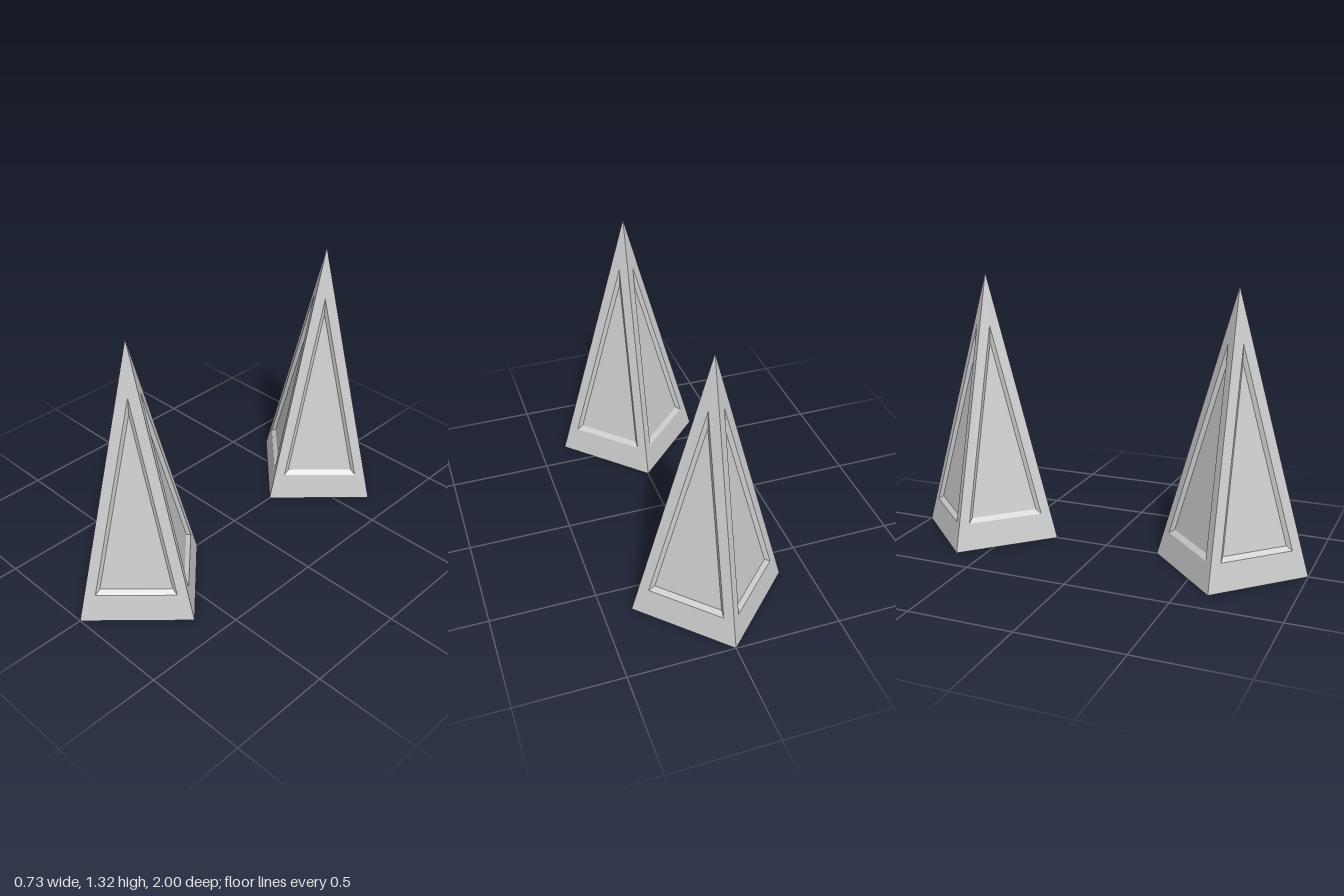
import * as THREE from 'three';

const R = 0.367;       // centre to base corner
const H = 1.315;       // spire height
const RIB = 0.035;     // half width of the rib left along each corner edge
const DEPTH = 0.0235;  // how far the panel floor sits in, measured along x + z

// Triangle on one sloping side: base-left, base-right, apex, seen from outside
function panelTriangle(bottom, inset) {
  const reach = R * (1 - bottom / H) - inset - RIB;
  const top = H * (1 - (2 * RIB + inset) / R);
  return [[RIB, bottom, reach], [reach, bottom, RIB], [RIB, top, RIB]];
}

function flatGeometry(triangles) {
  const g = new THREE.BufferGeometry();
  g.setAttribute('position', new THREE.Float32BufferAttribute(triangles.flat(2), 3));
  g.computeVertexNormals();
  return g;
}

// Ring of three quads joining an outer triangle to an inner one
function ring(outer, inner) {
  const tris = [];
  for (let i = 0; i < 3; i++) {
    const j = (i + 1) % 3;
    tris.push([outer[i], outer[j], inner[j]], [outer[i], inner[j], inner[i]]);
  }
  return tris;
}

export function createModel() {
  const model = new THREE.Group();
  const material = new THREE.MeshStandardMaterial({ color: 0xcccccc, flatShading: true });

  const side = [[0, 0, R], [R, 0, 0], [0, H, 0]];
  const rim = panelTriangle(0.13, 0);
  const floor = panelTriangle(0.15, DEPTH);
  const parts = {
    sideFrame: flatGeometry(ring(side, rim)),
    panelBevel: flatGeometry(ring(rim, floor)),
    panelFloor: flatGeometry([floor]),
  };
  // Square underside, corners on the axes
  const base = flatGeometry([
    [[R, 0, 0], [0, 0, R], [-R, 0, 0]],
    [[R, 0, 0], [-R, 0, 0], [0, 0, -R]],
  ]);

  const add = (parent, name, geometry) => {
    const mesh = new THREE.Mesh(geometry, material);
    mesh.name = name;
    parent.add(mesh);
  };

  // Two matching spires, front and back
  for (const [name, z] of [['frontSpire', 1 - R], ['backSpire', R - 1]]) {
    const spire = new THREE.Group();
    spire.name = name;
    spire.position.z = z;
    for (let k = 0; k < 4; k++) {
      const face = new THREE.Group();
      face.name = 'spireSide' + (k + 1);
      face.rotation.y = k * Math.PI / 2;
      for (const part in parts) add(face, part, parts[part]);
      spire.add(face);
    }
    add(spire, 'base', base);
    model.add(spire);
  }
  return model;
}
